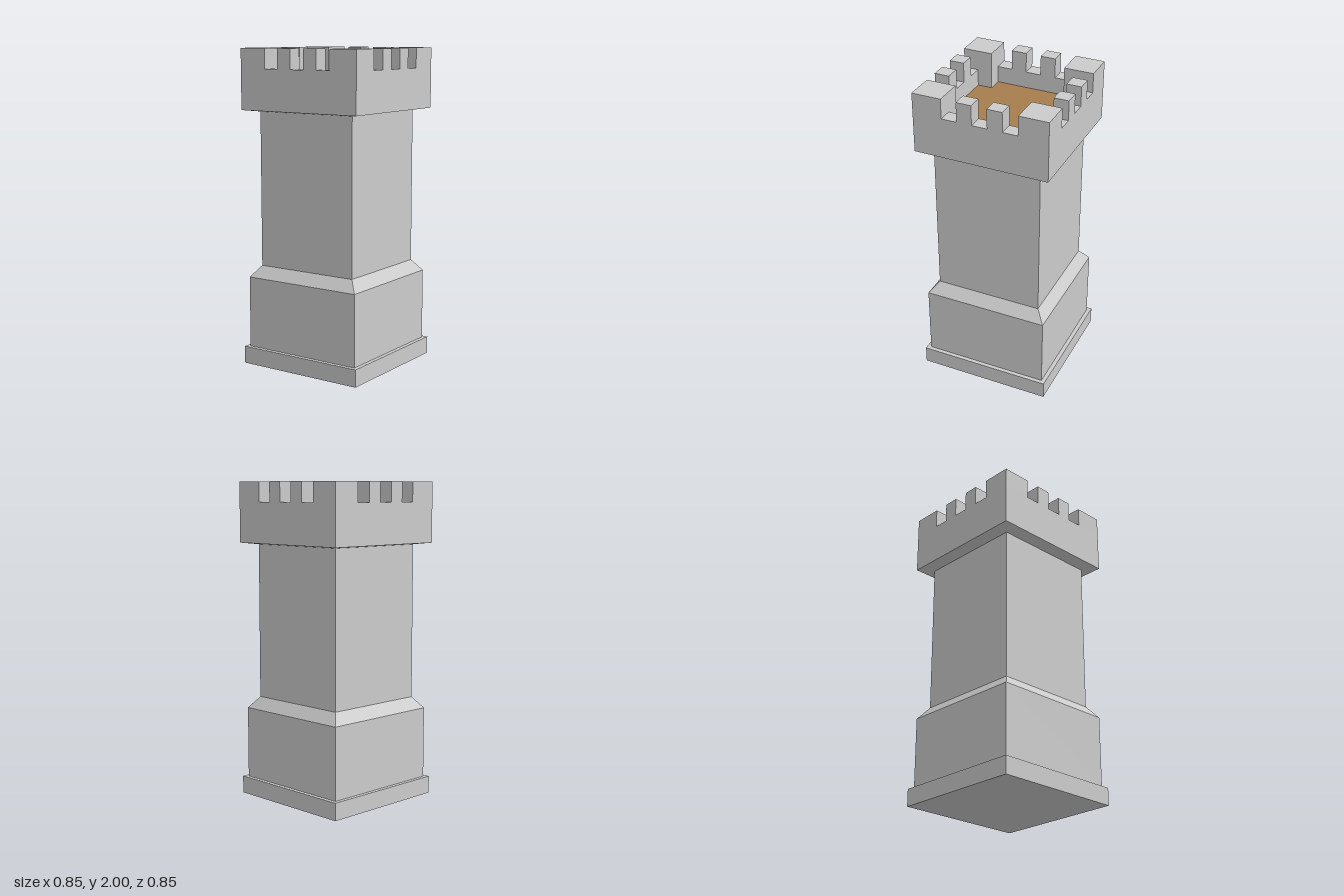
import * as THREE from 'three';

const OUT = 0.426;   // half width of plinth and battlements
const IN = 0.333;    // inner face of the parapet
const CORNER = 0.24; // inner face of the corner blocks
const SHAFT = 0.343, LOWER = 0.4;
const FLOOR = 1.77, CRENEL = 1.875, TOP = 2;

export function createModel() {
  const tower = new THREE.Group();
  tower.name = 'tower';
  const stone = new THREE.MeshStandardMaterial({ color: 0xcccccc, flatShading: true });
  const wood = new THREE.MeshStandardMaterial({ color: 0xa67c4e, flatShading: true });

  const add = (name, geometry, material = stone, parent = tower) => {
    const mesh = new THREE.Mesh(geometry, material);
    mesh.name = name;
    parent.add(mesh);
    return mesh;
  };
  // Square-plan solid from [half width, height] pairs, bottom to top
  const square = (profile) => new THREE.LatheGeometry(
    profile.map(([r, y]) => new THREE.Vector2(r * Math.SQRT2, y)), 4).rotateY(Math.PI / 4);
  // Box between two heights, centred on x, z
  const block = (name, x, z, w, d, y0, y1, parent) =>
    add(name, new THREE.BoxGeometry(w, y1 - y0, d), stone, parent).position.set(x, (y0 + y1) / 2, z);

  // Plinth and body
  block('plinth', 0, 0, OUT * 2, OUT * 2, 0, 0.11);
  add('lowerWall', square([[LOWER, 0.11], [LOWER, 0.5625]]));
  add('slopedLedge', square([[LOWER, 0.5625], [SHAFT, 0.635]]));
  add('shaft', square([[SHAFT, 0.635], [SHAFT, 1.61]]));

  // Overhanging head with its slightly sloping underside
  add('head', square([[SHAFT, 1.61], [OUT, 1.62], [OUT, FLOOR]]));

  // Cross-shaped roof floor, ringed by the parapet
  const cross = [];
  for (const [sx, sy] of [[1, 1], [-1, 1], [-1, -1], [1, -1]]) {
    const corner = [[IN, CORNER], [CORNER, CORNER], [CORNER, IN]]
      .map(([x, y]) => new THREE.Vector2(x * sx, y * sy));
    if (sx * sy < 0) corner.reverse();
    cross.push(...corner);
  }
  add('roofFloor', new THREE.ShapeGeometry(new THREE.Shape(cross)).rotateX(-Math.PI / 2), wood)
    .position.y = FLOOR;

  const ring = new THREE.Shape([[-OUT, -OUT], [OUT, -OUT], [OUT, OUT], [-OUT, OUT]]
    .map(([x, y]) => new THREE.Vector2(x, y)));
  ring.holes.push(new THREE.Path(cross));
  add('parapet', new THREE.ExtrudeGeometry(ring, { depth: CRENEL - FLOOR, bevelEnabled: false })
    .rotateX(-Math.PI / 2)).position.y = FLOOR;

  // One corner block and two merlons per side
  const cornerSize = OUT - CORNER, cornerMid = (OUT + CORNER) / 2;
  for (let i = 0; i < 4; i++) {
    const side = new THREE.Group();
    side.name = 'battlementSide';
    side.rotation.y = i * Math.PI / 2;
    tower.add(side);
    block('cornerBlock', cornerMid, cornerMid, cornerSize, cornerSize, CRENEL, TOP, side);
    for (const s of [-1, 1]) {
      block('merlon', s * 0.096, (OUT + IN) / 2, 0.096, OUT - IN, CRENEL, TOP, side);
    }
  }
  return tower;
}
